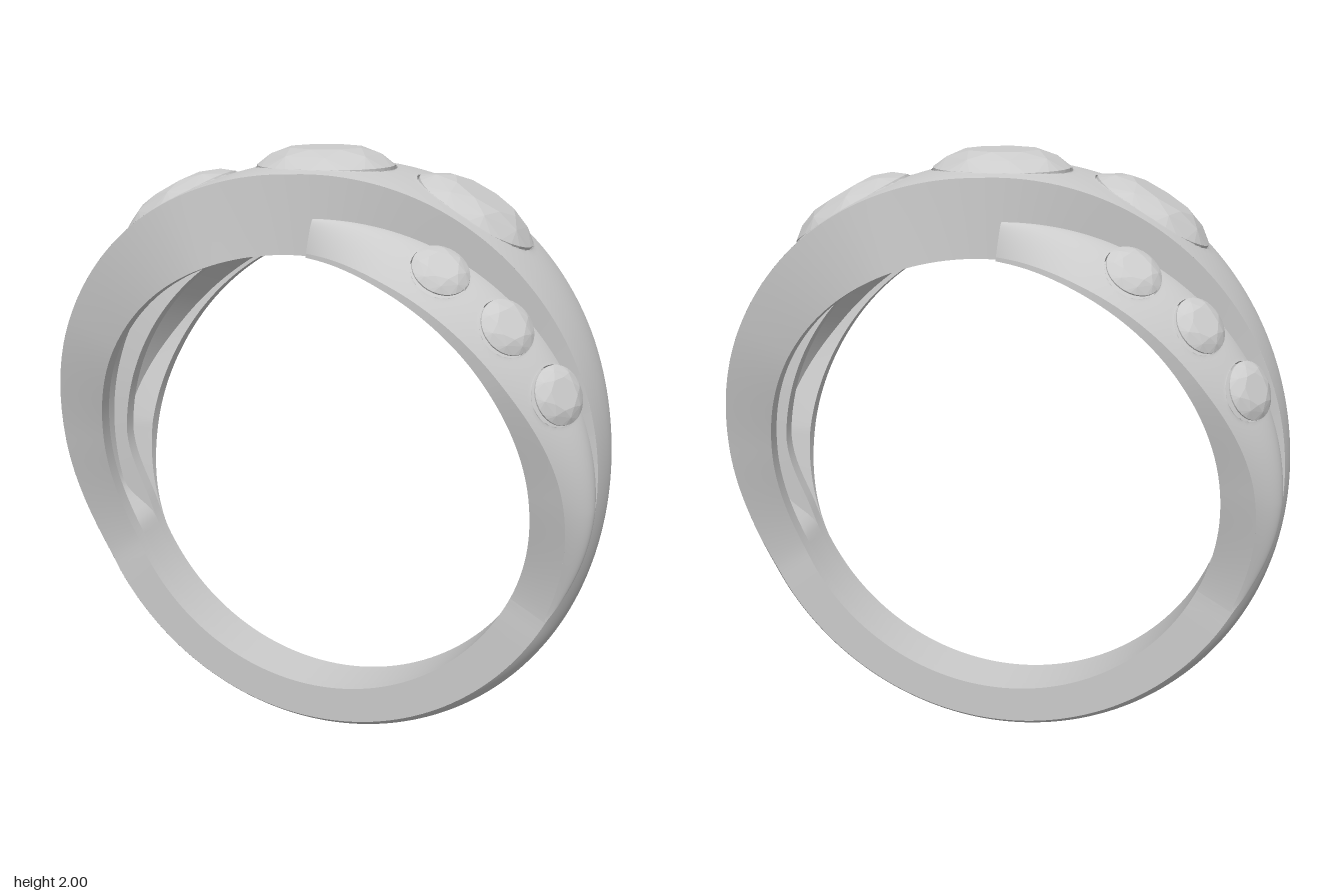
import * as THREE from 'three';
import { mergeGeometries } from 'three/addons/utils/BufferGeometryUtils.js';
import { ConvexGeometry } from 'three/addons/geometries/ConvexGeometry.js';

const RAD = Math.PI / 180, CY = 0.98;
const { lerp, smoothstep, clamp } = THREE.MathUtils;
const V = (x, y, z) => new THREE.Vector3(x, y, z);

// smooth curve through [angle, value] pairs; angles in degrees from the top of the ring
function curve(pairs) {
  const c = new THREE.CubicInterpolant(pairs.map(p => p[0]), pairs.map(p => p[1]), 1);
  return a => c.evaluate(clamp(a, pairs[0][0], pairs[pairs.length - 1][0]))[0];
}
const halfWidth = curve([[0, .28], [10, .31], [28, .345], [60, .295], [90, .19], [118, .1], [125, .1], [150, .1], [180, .1]]);
const W = a => halfWidth(Math.abs(a));
// front edge of the diagonal main band; its back edge is the same turned half round
const mainEdge = curve([[0, .28], [5, .265], [31, .165], [55, .108], [75, .088], [95, .088], [120, .1], [150, .1], [180, .1]]);
const zFront = a => (a <= 0 ? W(a) : Math.min(mainEdge(a), W(a)));
const zBack = a => -zFront(-a);
const shoulderTop = curve([[0, .82], [30, .86], [60, .905], [75, .93], [95, .953], [120, .95]]);
const shoulderRim = curve([[0, .72], [30, .738], [62, .785], [90, .87], [120, .92]]);

const at = (a, r, z) => V(r * Math.sin(a * RAD), CY + r * Math.cos(a * RAD), z);
// finger hole: a circle set slightly below the centre of the outer circle
const rInner = a => -.055 * Math.cos(a * RAD) + Math.sqrt(.765 ** 2 - (.055 * Math.sin(a * RAD)) ** 2);
function rMain(a, z) {
  const c = Math.cos(a * RAD);
  const drop = .038 - .014 * Math.max(0, c) ** 4;
  return .96 + .02 * c * c - drop * Math.min(1, Math.abs(z) / W(a)) ** 2.2;
}
function rShoulder(a, z) {
  const z0 = zFront(a), t = clamp((z - z0) / Math.max(W(a) - z0, 1e-4), 0, 1);
  const top = Math.min(shoulderTop(a), rMain(a, z0));
  const bulge = .1 * t * (1 - t) * (1 - smoothstep(a, 95, 120));
  return lerp(top, Math.min(shoulderRim(a), rMain(a, W(a))), t) + bulge;
}
const cavity = a => 1 - smoothstep(Math.abs(a), 104, 116);

// grid patch over angle and v; round holes are cut and their edges snapped to circles
function patch(fn, a0, a1, nu, nv, holes = []) {
  const pts = [], inside = [], idx = [];
  for (let i = 0; i <= nu; i++) for (let j = 0; j <= nv; j++) {
    const p = fn(lerp(a0, a1, i / nu), j / nv);
    let cut = false;
    for (const h of holes) {
      const d = p.clone().sub(h.c), along = d.dot(h.n);
      const side = d.addScaledVector(h.n, -along);
      if (Math.abs(along) < .2 && side.length() < h.r) {
        cut = true;
        p.copy(h.c).addScaledVector(h.n, along).addScaledVector(side.normalize(), h.r);
      }
    }
    pts.push(p);
    inside.push(cut);
  }
  for (let i = 0; i < nu; i++) for (let j = 0; j < nv; j++) {
    const a = i * (nv + 1) + j, b = a + 1, d = a + nv + 1, c = d + 1;
    if (inside[a] && inside[b] && inside[c] && inside[d]) continue;
    idx.push(a, b, c, a, c, d);
  }
  const g = new THREE.BufferGeometry().setFromPoints(pts);
  g.setIndex(idx);
  g.computeVertexNormals();
  return g;
}

// straight-sided patches between successive section corners [r, z]
function walls(corners, a0, a1, nu) {
  const out = [];
  for (let k = 0; k < corners(a0).length - 1; k++) {
    out.push(patch((a, v) => {
      const [p, q] = corners(a).slice(k, k + 2);
      return at(a, lerp(p[0], q[0], v), lerp(p[1], q[1], v));
    }, a0, a1, nu, 2));
  }
  return out;
}

// seat for a stone: centre, axis and radius, taken from the surface it sits in
function seat(rOf, a, z, r, lift) {
  const S = (x, y) => at(x, rOf(x, y), y);
  const da = S(a + 1, z).sub(S(a - 1, z)), dz = S(a, z + .03).sub(S(a, z - .03));
  const n = dz.cross(da).normalize();
  return { c: S(a, z).addScaledVector(n, lift), n, r, S };
}

// wall of the round hole, following the curved surface at its upper edge
function lining(h, depth) {
  const e1 = V(0, 0, 1).cross(h.n).normalize(), e2 = h.n.clone().cross(e1);
  return patch((t, v) => {
    const p = h.c.clone().addScaledVector(e1, h.r * Math.cos(t)).addScaledVector(e2, h.r * Math.sin(t));
    const s = h.S(Math.atan2(p.x, p.y - CY) / RAD, p.z);
    const top = clamp(s.sub(h.c).dot(h.n), -.06, .05);
    return p.addScaledVector(h.n, lerp(top, -depth, v));
  }, 0, Math.PI * 2, 64, 1);
}

// brilliant-cut stone of unit radius: table, star points, girdle and pavilion
function gemGeometry() {
  const pts = [V(0, -.85, 0)];
  const ring = (n, r, y, turn) => {
    for (let i = 0; i < n; i++) {
      const t = (i + turn) / n * Math.PI * 2;
      pts.push(V(r * Math.cos(t), y, r * Math.sin(t)));
    }
  };
  ring(8, .55, .27, 0);
  ring(8, .8, .175, .5);
  ring(32, 1, .02, 0);
  ring(32, 1, -.03, 0);
  return new ConvexGeometry(pts);
}

export function createModel() {
  const ring = new THREE.Group();
  ring.name = 'ring';
  const metal = new THREE.MeshStandardMaterial({ color: 0xcccccc, side: THREE.DoubleSide });
  const stone = new THREE.MeshStandardMaterial({ color: 0xcccccc, flatShading: true });
  const gem = gemGeometry();
  const add = (parent, name, geo, mat) => {
    const m = new THREE.Mesh(geo, mat);
    m.name = name;
    parent.add(m);
    return m;
  };
  const addGem = (parent, name, h) => {
    const m = add(parent, name, gem, stone);
    m.position.copy(h.c);
    m.quaternion.setFromUnitVectors(V(0, 1, 0), h.n);
    m.scale.setScalar(h.r * .975);
  };

  // main band with three large stones
  const seats = [[-29.8, .11, .217], [0, 0, .228], [29.8, -.11, .217]]
    .map(([a, z, r]) => seat(rMain, a, z, r, -.02));
  const rimFoot = a => rInner(a) + .05 * smoothstep(a, 5, 25) * (1 - smoothstep(a, 90, 112));
  const outer = patch((a, v) => {
    const z = lerp(zBack(a), zFront(a), v);
    return at(a, rMain(a, z), z);
  }, -180, 180, 400, 44, seats);
  const mainSection = a => {
    const f = zFront(a), b = zBack(a), rim = .045;
    const ff = rimFoot(a), fb = rimFoot(-a);
    const floor = k => lerp(k, .865, cavity(a));
    return [[rMain(a, f), f], [ff, f], [ff, f - rim], [floor(ff), f - rim],
      [floor(fb), b + rim], [fb, b + rim], [fb, b], [rMain(a, b), b]];
  };
  add(ring, 'mainBand', mergeGeometries([outer, ...walls(mainSection, -180, 180, 180)]), metal);
  seats.forEach((h, i) => {
    add(ring, 'largeStoneSeat' + (i + 1), lining(h, .1), metal);
    addGem(ring, 'largeStone' + (i + 1), h);
  });

  // lower shoulder with three small stones, repeated half a turn round
  const smallSeats = [[35, .238, .094], [52.5, .205, .094], [69, .165, .096]]
    .map(([a, z, r]) => seat(rShoulder, a, z, r, .004));
  const START = 5, END = 119;
  const shoulderTopFace = patch((a, v) => {
    const z = lerp(zFront(a), W(a), v);
    return at(a, rShoulder(a, z), z);
  }, START, END, 180, 22, smallSeats);
  const shoulderSection = a => {
    const f = zFront(a), w = W(a), ri = rInner(a);
    const rim = Math.min(.045, (w - f) * .45);
    const under = z => lerp(ri, Math.max(ri, rShoulder(a, z) - .06), cavity(a));
    return [[rShoulder(a, w), w], [ri, w], [ri, w - rim], [under(w - rim), w - rim], [under(f), f]];
  };
  // small end face where the shoulder starts
  const endCap = new THREE.BufferGeometry().setFromPoints([
    [rShoulder(START, zFront(START)), zFront(START)], [rShoulder(START, W(START)), W(START)],
    [rInner(START), W(START)], [rInner(START), zFront(START)],
  ].map(([r, z]) => at(START, r, z)));
  endCap.setIndex([0, 2, 1, 0, 3, 2]);
  endCap.computeVertexNormals();
  const shoulderGeo = mergeGeometries([shoulderTopFace, ...walls(shoulderSection, START, END, 90), endCap]);
  for (const side of ['left', 'right']) {
    const g = new THREE.Group();
    g.name = side + 'Shoulder';
    add(g, side + 'ShoulderBand', shoulderGeo, metal);
    smallSeats.forEach((h, i) => {
      add(g, side + 'SmallStoneSeat' + (i + 1), lining(h, .06), metal);
      addGem(g, side + 'SmallStone' + (i + 1), h);
    });
    if (side === 'right') g.rotation.y = Math.PI;
    ring.add(g);
  }
  return ring;
}
